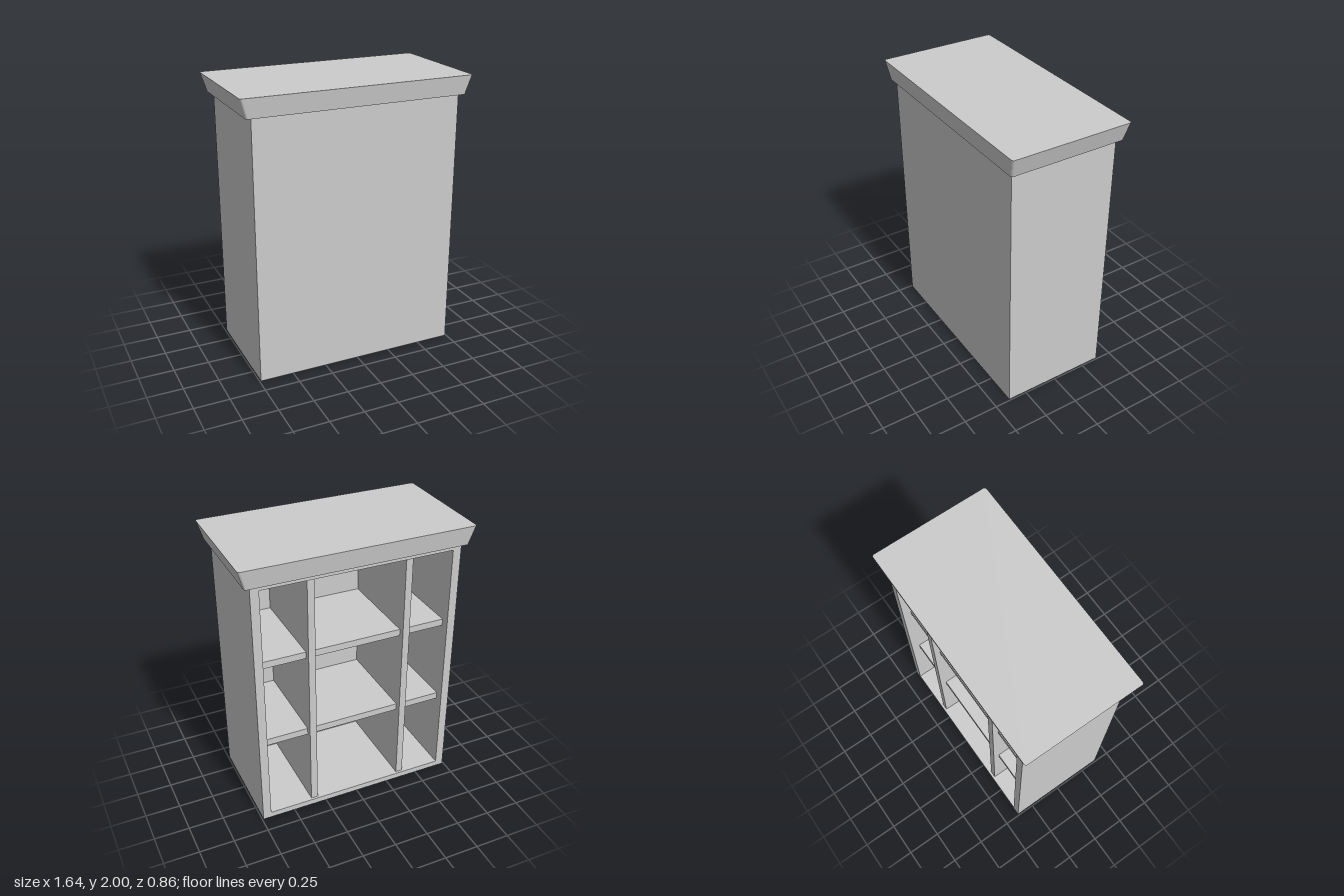
import * as THREE from 'three';

const material = new THREE.MeshStandardMaterial({ color: 0xcccccc, flatShading: true });

const W = 0.74, D = 0.385, H = 1.866; // carcass half width, half depth, height
const WALL = 0.06, FRONT = 0.335;     // side thickness, inner face of the closed front

// Box given by its extents on each axis
function slab(group, name, [x0, x1], [y0, y1], [z0, z1]) {
  const mesh = new THREE.Mesh(new THREE.BoxGeometry(x1 - x0, y1 - y0, z1 - z0), material);
  mesh.name = name;
  mesh.position.set((x0 + x1) / 2, (y0 + y1) / 2, (z0 + z1) / 2);
  group.add(mesh);
}

// Crown: rounded rectangle extruded upwards, its lower rim drawn inwards
function crown() {
  const x = 0.82, z = 0.43, r = 0.016, h = 2 - H;
  const s = new THREE.Shape();
  s.moveTo(-x + r, -z);
  s.lineTo(x - r, -z);
  s.absarc(x - r, -z + r, r, -Math.PI / 2, 0);
  s.lineTo(x, z - r);
  s.absarc(x - r, z - r, r, 0, Math.PI / 2);
  s.lineTo(-x + r, z);
  s.absarc(-x + r, z - r, r, Math.PI / 2, Math.PI);
  s.lineTo(-x, -z + r);
  s.absarc(-x + r, -z + r, r, Math.PI, Math.PI * 1.5);
  const geo = new THREE.ExtrudeGeometry(s, { depth: h, bevelEnabled: false, curveSegments: 4 });
  geo.rotateX(-Math.PI / 2);
  const p = geo.attributes.position;
  for (let i = 0; i < p.count; i++) {
    if (p.getY(i) < h / 2) {
      p.setX(i, p.getX(i) * (0.78 / x));
      p.setZ(i, p.getZ(i) * (0.412 / z));
    }
  }
  geo.computeVertexNormals();
  const mesh = new THREE.Mesh(geo, material);
  mesh.name = 'crown';
  mesh.position.y = H;
  return mesh;
}

export function createModel() {
  const model = new THREE.Group();
  model.name = 'counter';
  const inner = W - WALL, floor = 0.042, ceiling = 1.832;

  // Carcass, closed at the front and open at the back
  const carcass = new THREE.Group();
  carcass.name = 'carcass';
  slab(carcass, 'leftSide', [inner, W], [0, H], [-D, D]);
  slab(carcass, 'rightSide', [-W, -inner], [0, H], [-D, D]);
  slab(carcass, 'bottomPanel', [-inner, inner], [0, floor], [-D, D]);
  slab(carcass, 'topPanel', [-inner, inner], [ceiling, H], [-D, D]);
  slab(carcass, 'frontPanel', [-inner, inner], [floor, ceiling], [FRONT, D]);
  model.add(carcass);

  // Upright dividers, set slightly inside the opening
  const half = 0.025, dividers = [-0.366, 0.334];
  for (const x of dividers)
    slab(model, 'divider', [x - half, x + half], [floor, ceiling], [-0.367, FRONT]);

  // Two rows of shelves in three bays
  const bays = [
    [-inner, dividers[0] - half],
    [dividers[0] + half, dividers[1] - half],
    [dividers[1] + half, inner],
  ];
  for (const top of [0.65, 1.278])
    for (const bay of bays) slab(model, 'shelf', bay, [top - 0.05, top], [-0.323, FRONT]);

  model.add(crown());
  return model;
}
